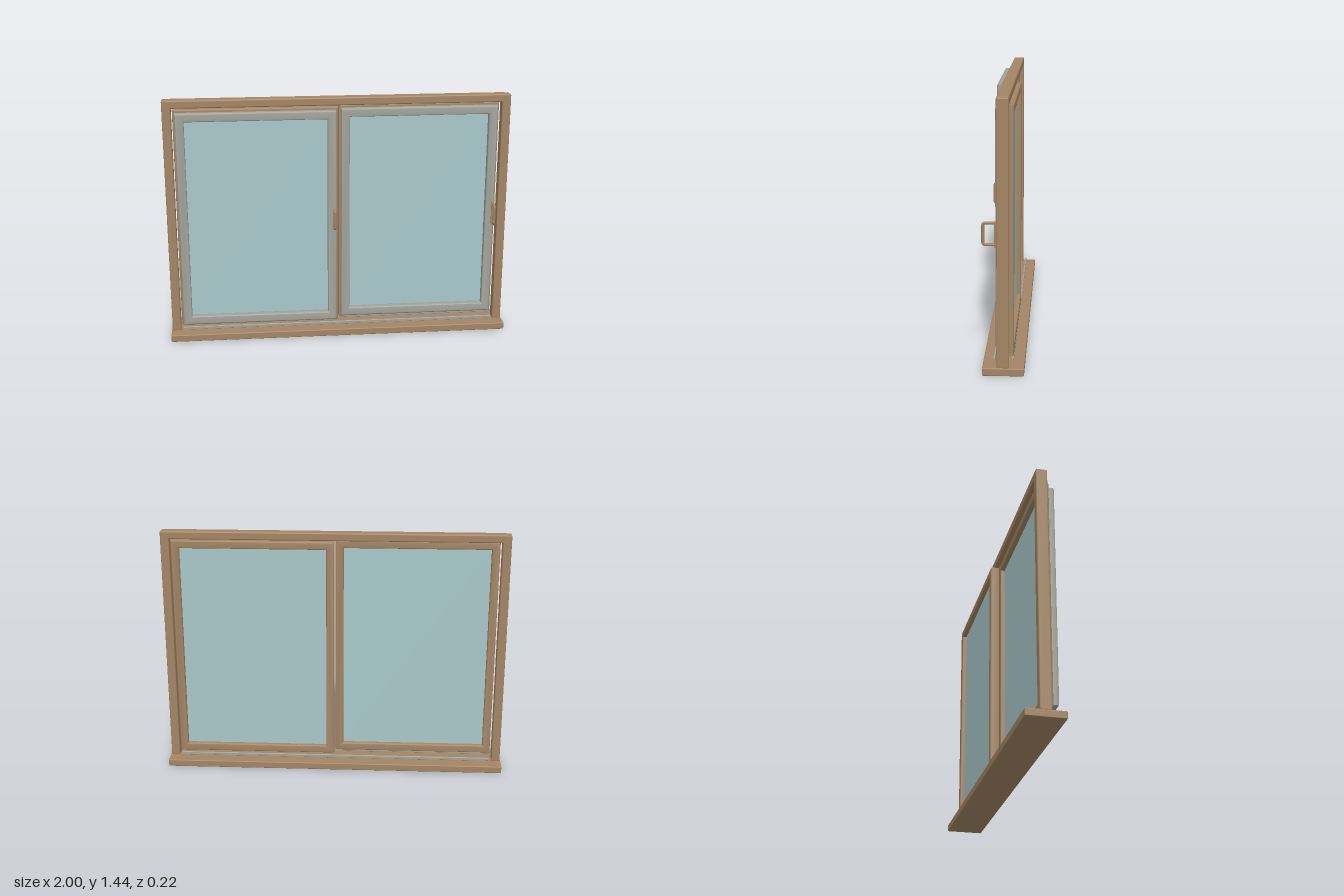
import * as THREE from 'three';
import { toCreasedNormals } from 'three/addons/utils/BufferGeometryUtils.js';
import { RoundedBoxGeometry } from 'three/addons/geometries/RoundedBoxGeometry.js';

const material = (name, color) => {
  const m = new THREE.MeshStandardMaterial({ color });
  m.name = name;
  return m;
};

export function createModel() {
  const wood = material('wood', 0xa38564);
  const grey = material('greyTrim', 0xa2a39b);
  const glass = material('glass', 0xa9c8ca);

  const model = new THREE.Group();
  model.name = 'slidingWindow';

  const add = (parent, name, geometry, mat) => {
    const mesh = new THREE.Mesh(geometry, mat);
    mesh.name = name;
    parent.add(mesh);
    return mesh;
  };

  // Softly rounded box given by its limits on each axis
  const box = (parent, name, mat, [x0, x1], [y0, y1], [z0, z1], r) => {
    const g = new RoundedBoxGeometry(x1 - x0, y1 - y0, z1 - z0, 2, r);
    g.translate((x0 + x1) / 2, (y0 + y1) / 2, (z0 + z1) / 2);
    return add(parent, name, g, mat);
  };

  // Rectangular ring with rounded edges, running from z0 to z1
  const ring = (parent, name, mat, w, h, border, z0, z1, bevel) => {
    const rect = (T, a, b) => new T([
      new THREE.Vector2(-a, -b), new THREE.Vector2(a, -b),
      new THREE.Vector2(a, b), new THREE.Vector2(-a, b),
    ]);
    const shape = rect(THREE.Shape, w / 2, h / 2);
    shape.holes.push(rect(THREE.Path, w / 2 - border, h / 2 - border));
    const g = new THREE.ExtrudeGeometry(shape, {
      depth: z1 - z0 - 2 * bevel, bevelEnabled: true, bevelThickness: bevel,
      bevelSize: bevel, bevelOffset: -bevel, bevelSegments: 3,
    });
    g.translate(0, 0, z0 + bevel);
    return add(parent, name, toCreasedNormals(g, 0.7), mat);
  };

  // Outer frame
  box(model, 'sill', wood, [-1, 1], [0, 0.042], [-0.11, 0.106], 0.005);
  box(model, 'head', wood, [-0.97, 0.97], [1.39, 1.437], [-0.032, 0.031], 0.008);
  for (const side of [-1, 1]) {
    const xs = [side * 0.945, side * 0.995].sort((a, b) => a - b);
    box(model, side < 0 ? 'rightJamb' : 'leftJamb', wood, xs, [0.04, 1.435], [-0.032, 0.031], 0.006);
  }

  // Running tracks below the sashes
  for (const z of [-0.049, 0.048]) {
    box(model, z > 0 ? 'frontTrack' : 'backTrack', grey, [-0.93, 0.93], [0.053, 0.071], [z - 0.005, z + 0.005], 0.003);
  }

  // Two sashes, each a wooden ring with a grey inner trim and a pane
  const addSash = (name, x, z) => {
    const sash = new THREE.Group();
    sash.name = name;
    sash.position.set(x, 0.737, z);
    ring(sash, 'sashFrame', wood, 0.931, 1.305, 0.046, -0.031, 0.031, 0.008);
    ring(sash, 'sashTrim', grey, 0.904, 1.272, 0.049, 0.02, 0.064, 0.008);
    add(sash, 'pane', new THREE.BoxGeometry(0.86, 1.24, 0.01), glass);
    model.add(sash);
  };
  addSash('rightSash', -0.47, 0.024);
  addSash('leftSash', 0.467, -0.024);

  // Pull handles with rounded corners and a slim backing plate
  const addHandle = (name, x) => {
    const handle = new THREE.Group();
    handle.name = name;
    handle.position.set(x, 0.731, 0);
    const v = (y, z) => new THREE.Vector3(0, y, z);
    const path = new THREE.CurvePath();
    path.add(new THREE.LineCurve3(v(-0.057, 0.036), v(-0.057, 0.09)));
    path.add(new THREE.QuadraticBezierCurve3(v(-0.057, 0.09), v(-0.057, 0.104), v(-0.043, 0.104)));
    path.add(new THREE.LineCurve3(v(-0.043, 0.104), v(0.043, 0.104)));
    path.add(new THREE.QuadraticBezierCurve3(v(0.043, 0.104), v(0.057, 0.104), v(0.057, 0.09)));
    path.add(new THREE.LineCurve3(v(0.057, 0.09), v(0.057, 0.036)));
    add(handle, 'handleBar', new THREE.TubeGeometry(path, 48, 0.008, 10), wood);
    box(handle, 'handlePlate', wood, [-0.004, 0.014], [-0.068, 0.066], [0.034, 0.046], 0.003);
    model.add(handle);
  };
  addHandle('rightHandle', -0.028);
  addHandle('leftHandle', 0.909);

  return model;
}
